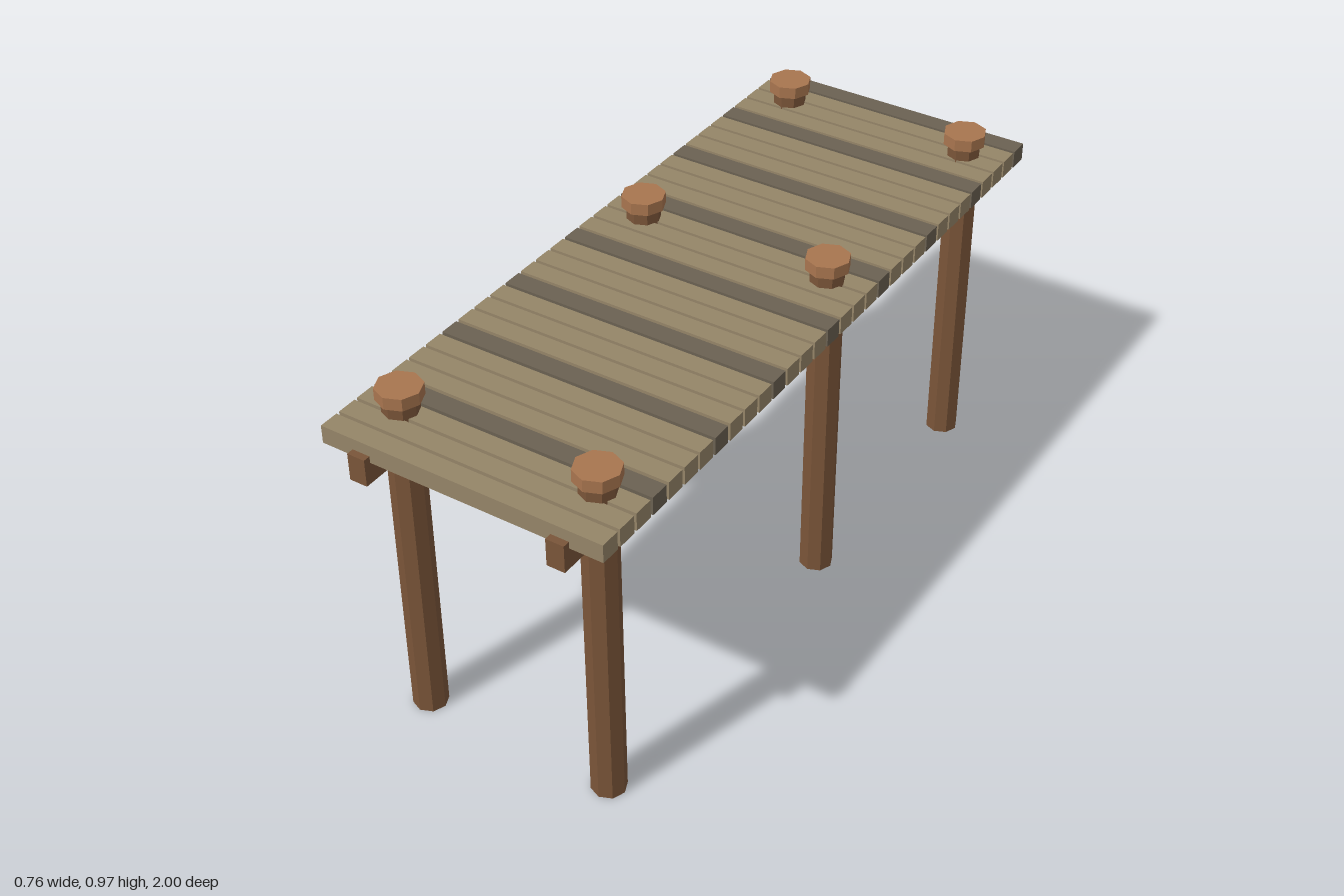
import * as THREE from 'three';

const mat = (color) => new THREE.MeshStandardMaterial({ color, flatShading: true });

export function createModel() {
  const pier = new THREE.Group();
  pier.name = 'pier';
  const postWood = mat(0x7a5539);
  const capWood = mat(0xa8754f);
  const plankWood = mat(0x958568);
  const darkPlankWood = mat(0x6b6152);

  const add = (name, geometry, material, x, y, z) => {
    const mesh = new THREE.Mesh(geometry, material);
    mesh.name = name;
    mesh.position.set(x, y, z);
    pier.add(mesh);
  };

  // Deck planks, every fourth one darker
  const count = 32, pitch = 0.0622, depth = 0.053;
  const plank = new THREE.BoxGeometry(0.764, 0.048, depth);
  for (let i = 0; i < count; i++) {
    add('plank', plank, i % 4 === 0 ? darkPlankWood : plankWood,
      0, 0.879, -1 + depth / 2 + i * pitch);
  }

  // Long beams, octagonal posts and the caps hovering just above them
  const beam = new THREE.BoxGeometry(0.048, 0.073, 1.992);
  const post = new THREE.CylinderGeometry(0.045, 0.045, 0.932, 8);
  const cap = new THREE.CylinderGeometry(0.0575, 0.0575, 0.032, 8);
  for (const x of [-0.27, 0.27]) {
    add('beam', beam, postWood, x, 0.8365, 0.004);
    for (const z of [-0.867, -0.141, 0.837]) {
      add('post', post, postWood, x, 0.466, z);
      add('postCap', cap, capWood, x, 0.954, z);
    }
  }
  return pier;
}
